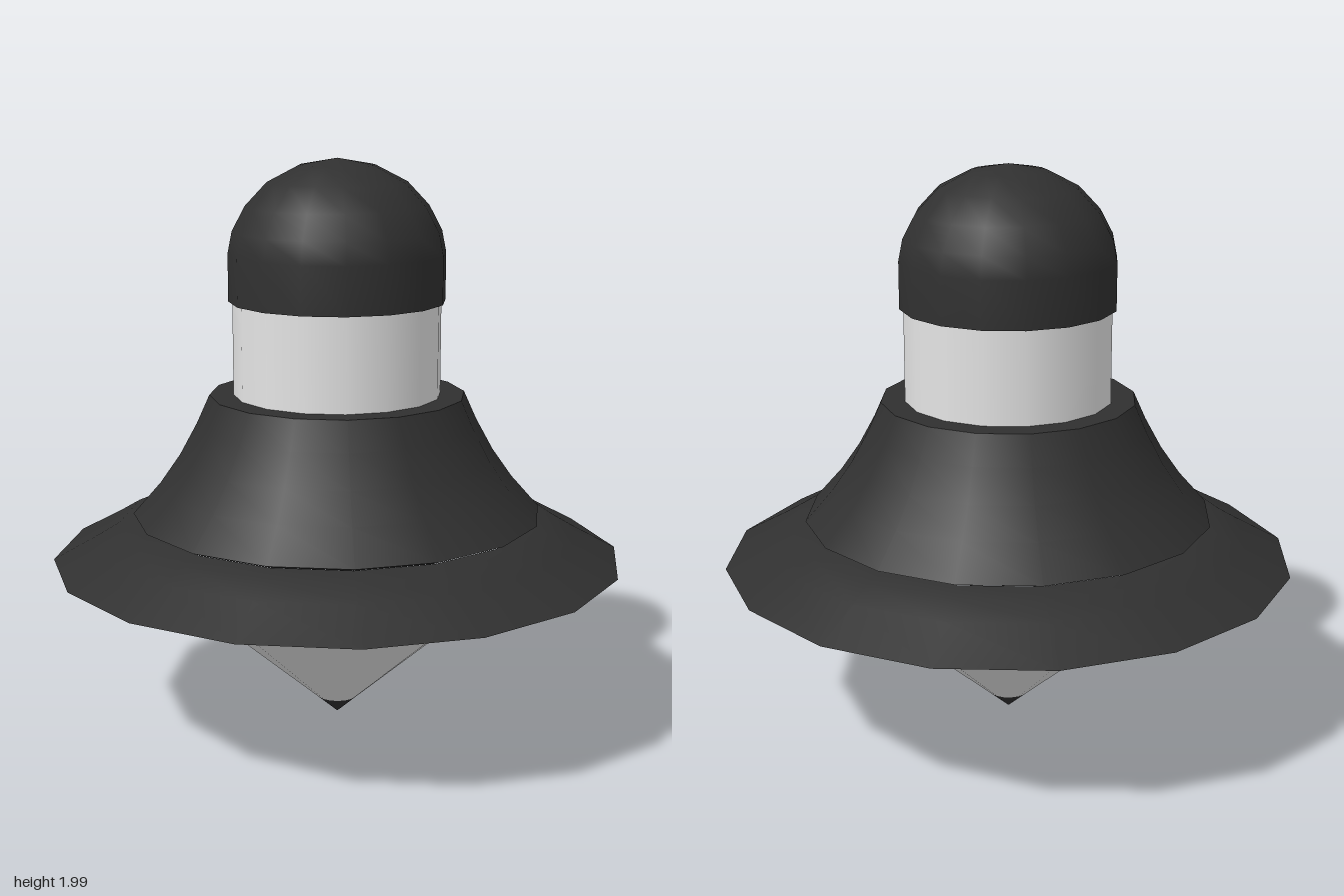
import * as THREE from 'three';

const SIDES = 16;

export function createModel() {
  const model = new THREE.Group();
  const dark = new THREE.MeshStandardMaterial({ color: 0x303030 });
  dark.name = 'charcoal';
  const pale = new THREE.MeshStandardMaterial({ color: 0xe4e4e4 });
  pale.name = 'pale grey';

  // Each part is a smooth 16-sided lathe; separate parts keep the edges sharp.
  // Profiles run [radius, height], from bottom to top along the outside.
  function turn(name, material, profile, parent = model) {
    const points = profile.map(([r, y]) => new THREE.Vector2(r, y));
    const mesh = new THREE.Mesh(new THREE.LatheGeometry(points, SIDES), material);
    mesh.name = name;
    parent.add(mesh);
  }

  // Pointed lens cone with its dark tip
  turn('coneTip', dark, [[0, 0], [0.075, 0.066]]);
  turn('lensCone', pale, [[0.075, 0.066], [0.795, 0.695]]);

  // Flared brim: pale reflector below, dark skin above
  const brim = new THREE.Group();
  brim.name = 'brim';
  model.add(brim);
  turn('brimUnderside', pale, [[0.7, 0.735], [0.765, 0.72], [0.84, 0.678], [1, 0.598]], brim);
  turn('brimTop', dark, [[1, 0.598], [0.84, 0.685], [0.765, 0.73], [0.69, 0.748]], brim);

  // Bell-shaped shade with a small lip and a flat top ring
  const shade = new THREE.Group();
  shade.name = 'shade';
  model.add(shade);
  turn('shadeLip', dark, [[0.68, 0.745], [0.717, 0.76]], shade);
  turn('shadeBell', dark, [[0.717, 0.76], [0.62, 0.87], [0.55, 0.97], [0.49, 1.08], [0.445, 1.18]], shade);
  turn('shadeTopRing', dark, [[0.445, 1.18], [0.35, 1.18]], shade);

  // Pale neck
  turn('neck', pale, [[0.361, 1.17], [0.361, 1.51]]);

  // Domed cap
  const cap = new THREE.Group();
  cap.name = 'cap';
  model.add(cap);
  turn('capUnderside', dark, [[0.35, 1.505], [0.375, 1.505]], cap);
  turn('capDome', dark, [[0.375, 1.505], [0.375, 1.67], [0.36, 1.745], [0.315, 1.83],
    [0.24, 1.91], [0.13, 1.967], [0, 1.99]], cap);

  return model;
}
